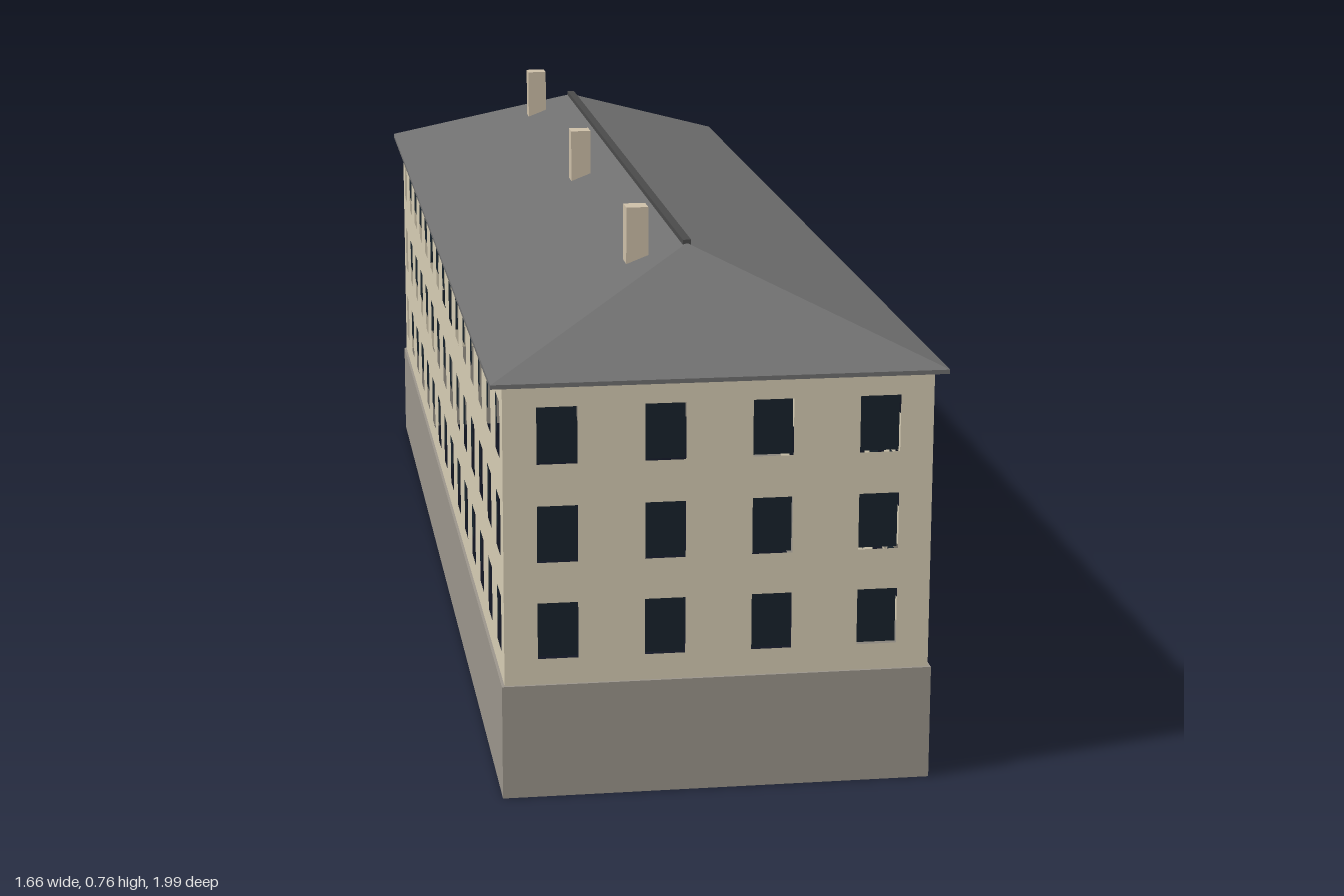
import * as THREE from 'three';

const L = 0.981, W = 0.297;          // half length and half width of the walls
const BASE = 0.163, TOP = 0.59;      // plinth top, wall top
const LEDGE = 0.004;                 // plinth projection
const ROWS = [0.24, 0.378, 0.517];   // window centre heights
const WIN_W = 0.056, WIN_H = 0.08, INSET = 0.009;
const DOOR_W = 0.066, DOOR_Y0 = 0.137, DOOR_Y1 = 0.244;
const DOOR_COLS = [2, 7, 12];

const mat = (color, side = THREE.FrontSide) =>
  new THREE.MeshStandardMaterial({ color, side, flatShading: true });
const wallMat = mat(0xd6ccb3, THREE.DoubleSide);
const plinthMat = mat(0x9b958b, THREE.DoubleSide);
const glassMat = mat(0x17222c, THREE.DoubleSide);
const roofMat = mat(0x707070, THREE.DoubleSide);
const ridgeMat = mat(0x4a4a4a);
const stoneMat = mat(0x958e80);
const chimneyMat = mat(0xcdbfa8);

function add(parent, name, geometry, material, x = 0, y = 0, z = 0) {
  const mesh = new THREE.Mesh(geometry, material);
  mesh.name = name;
  mesh.position.set(x, y, z);
  parent.add(mesh);
  return mesh;
}

// Upright panel outline; doors cut notches out of its bottom or top edge
function panel(half, y0, y1, doors, notchBottom, notchTop) {
  const pts = [];
  const d = DOOR_W / 2;
  pts.push([-half, y0]);
  if (notchBottom) for (const x of doors) {
    pts.push([x - d, y0], [x - d, DOOR_Y1], [x + d, DOOR_Y1], [x + d, y0]);
  }
  pts.push([half, y0], [half, y1]);
  if (notchTop) for (const x of [...doors].reverse()) {
    pts.push([x + d, y1], [x + d, DOOR_Y0], [x - d, DOOR_Y0], [x - d, y1]);
  }
  pts.push([-half, y1]);
  return new THREE.Shape(pts.map(p => new THREE.Vector2(...p)));
}

function rectPath(cx, cy, w, h, Type = THREE.Path) {
  const a = w / 2, b = h / 2;
  return new Type([[-a, -b], [-a, b], [a, b], [a, -b]]
    .map(([x, y]) => new THREE.Vector2(cx + x, cy + y)));
}

// One side of the house, facing +z before it is turned
function facade(name, half, depth, columns, doorCols, angle) {
  const side = new THREE.Group();
  side.name = name;
  side.rotation.y = angle;
  const colX = i => -half + (i + 0.5) * 2 * half / columns;
  const doors = doorCols.map(colX);

  const wall = panel(half, BASE, TOP, doors, true, false);
  const pane = new THREE.PlaneGeometry(WIN_W, WIN_H);
  for (let i = 0; i < columns; i++) {
    ROWS.forEach((y, row) => {
      if (row === 0 && doorCols.includes(i)) return;
      wall.holes.push(rectPath(colX(i), y, WIN_W, WIN_H));
      add(side, 'windowPane', pane, glassMat, colX(i), y, depth - INSET);
    });
  }
  add(side, 'wall', new THREE.ShapeGeometry(wall), wallMat, 0, 0, depth);
  const plinth = panel(half + LEDGE, 0, BASE, doors, false, true);
  add(side, 'plinth', new THREE.ShapeGeometry(plinth), plinthMat, 0, 0, depth + LEDGE);

  // Doorstep and canopy at each doorway
  for (const x of doors) {
    add(side, 'doorstep', new THREE.BoxGeometry(0.105, 0.019, 0.046), stoneMat,
      x, 0.1275, depth + 0.025);
    add(side, 'doorCanopy', new THREE.BoxGeometry(0.118, 0.01, 0.052), stoneMat,
      x, 0.252, depth + 0.026);
  }
  return side;
}

// Hipped roof: eave edge, slopes and soffit
function roofGeometry() {
  const a = 0.997, b = 0.314, r = 0.688, y0 = 0.588, y1 = 0.594, y2 = 0.715;
  const ring = y => [[-a, y, b], [a, y, b], [a, y, -b], [-a, y, -b]];
  const lo = ring(y0), hi = ring(y1), p = [-r, y2, 0], q = [r, y2, 0];
  const tris = [];
  const quad = (A, B, C, D) => tris.push(A, B, C, A, C, D);
  for (let i = 0; i < 4; i++) {
    const j = (i + 1) % 4;
    quad(lo[i], lo[j], hi[j], hi[i]);
  }
  quad(hi[0], hi[1], q, p);
  quad(hi[2], hi[3], p, q);
  tris.push(hi[1], hi[2], q, hi[3], hi[0], p);
  quad(lo[3], lo[2], lo[1], lo[0]);
  const g = new THREE.BufferGeometry();
  g.setAttribute('position', new THREE.Float32BufferAttribute(tris.flat(), 3));
  g.computeVertexNormals();
  return g;
}

export function createModel() {
  const model = new THREE.Group();
  model.name = 'house';
  const house = new THREE.Group();
  house.name = 'building';
  house.rotation.y = 0.956; // the block stands diagonally
  model.add(house);

  // Four sides
  house.add(facade('entranceSide', L, W, 15, DOOR_COLS, 0));
  house.add(facade('rearSide', L, W, 15, [], Math.PI));
  house.add(facade('endSideA', W, L, 4, [], Math.PI / 2));
  house.add(facade('endSideB', W, L, 4, [], -Math.PI / 2));

  // Narrow ledge on top of the plinth
  const ledge = rectPath(0, 0, 2 * (L + LEDGE), 2 * (W + LEDGE), THREE.Shape);
  ledge.holes.push(rectPath(0, 0, 2 * L, 2 * W));
  add(house, 'plinthLedge', new THREE.ShapeGeometry(ledge).rotateX(-Math.PI / 2), plinthMat, 0, BASE, 0);

  // Ceiling, roof and ridge
  add(house, 'ceiling', new THREE.PlaneGeometry(2 * L, 2 * W).rotateX(Math.PI / 2),
    wallMat, 0, TOP - 0.004, 0);
  add(house, 'roof', roofGeometry(), roofMat);
  add(house, 'ridgeCap', new THREE.BoxGeometry(1.38, 0.012, 0.012), ridgeMat, 0, 0.714, 0);

  // Chimneys along the rear slope
  for (const x of [-0.653, 0, 0.653]) {
    add(house, 'chimney', new THREE.BoxGeometry(0.032, 0.105, 0.032), chimneyMat, x, 0.7125, -0.069);
  }
  return model;
}
